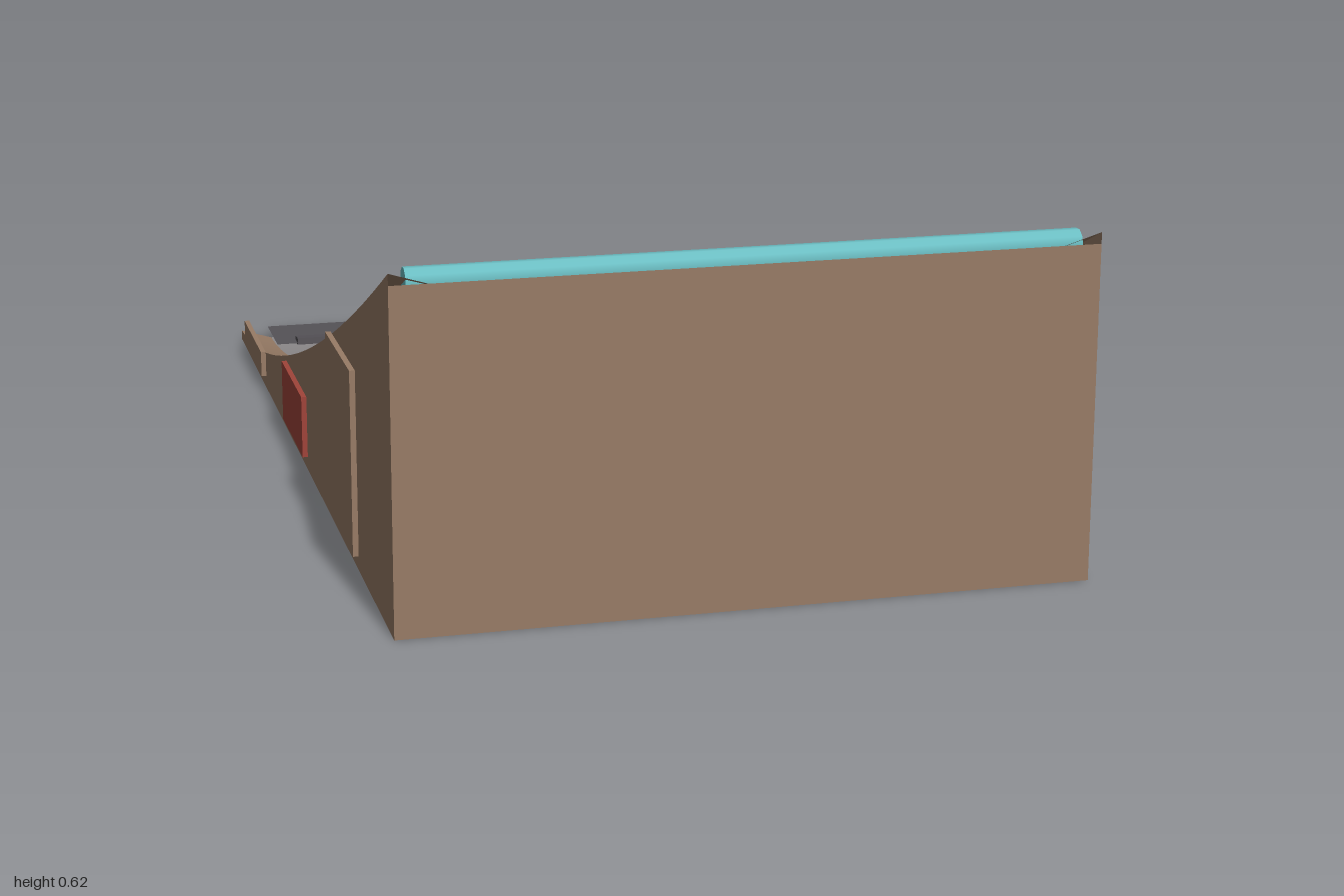
import * as THREE from 'three';

const HALF = 0.605;   // outer half width
const DECK = 0.54;    // riding surface half width
const Z0 = -0.945;    // low end of the curve
const Z1 = 1;         // tall end
const LIP = 0.02;     // how far the deck sits below the side walls
const STEPS = 24;

// Height and slope of the side walls' curved top edge
const rise = (z) => LIP + 0.595 * Math.pow((z - Z0) / (Z1 - Z0), 1.5);
const slope = (z) => (rise(z + 0.01) - rise(z - 0.01)) / 0.02;

// Sheet following the curve between two x positions
function curvedSheet(xa, dropA, xb, dropB) {
  const pos = [], idx = [];
  for (let i = 0; i <= STEPS; i++) {
    const z = Z0 + ((Z1 - Z0) * i) / STEPS;
    pos.push(xa, rise(z) - dropA, z, xb, rise(z) - dropB, z);
    if (i < STEPS) {
      const k = i * 2;
      idx.push(k, k + 2, k + 1, k + 1, k + 2, k + 3);
    }
  }
  const g = new THREE.BufferGeometry();
  g.setAttribute('position', new THREE.Float32BufferAttribute(pos, 3));
  g.setIndex(idx);
  g.computeVertexNormals();
  return g;
}

export function createModel() {
  const group = new THREE.Group();
  const mat = (name, color) => {
    const m = new THREE.MeshStandardMaterial({ color, side: THREE.DoubleSide });
    m.name = name;
    return m;
  };
  const wood = mat('brown wood', 0x987c66);
  const grey = mat('grey deck', 0x8f8c8d);
  const dark = mat('dark metal', 0x555257);
  const teal = mat('teal coping', 0x6cbfc4);
  const red = mat('red panel', 0xa0443a);

  const add = (name, geometry, material, x = 0, y = 0, z = 0) => {
    const m = new THREE.Mesh(geometry, material);
    m.name = name;
    m.position.set(x, y, z);
    group.add(m);
    return m;
  };

  // Curved riding surface
  add('deck', curvedSheet(-DECK, LIP, DECK, LIP), grey);

  // Sloped edge strips between deck and walls
  add('leftEdge', curvedSheet(DECK, LIP, HALF, 0), wood);
  add('rightEdge', curvedSheet(-HALF, 0, -DECK, LIP), wood);

  // Side walls, drawn as (-z, y) and turned to face sideways
  const profile = new THREE.Shape();
  profile.moveTo(-Z1, 0);
  profile.lineTo(-Z0, 0);
  for (let i = 0; i <= STEPS; i++) {
    const z = Z0 + ((Z1 - Z0) * i) / STEPS;
    profile.lineTo(-z, rise(z));
  }
  profile.closePath();
  for (const s of [1, -1]) {
    const side = s > 0 ? 'left' : 'right';
    add(side + 'Wall', new THREE.ShapeGeometry(profile).rotateY(Math.PI / 2), wood, s * HALF);

    // Raised panels: z centre, height, material
    for (const [z, h, m] of [[0.515, 0.335, wood], [-0.082, 0.12, red], [-0.673, 0.052, wood]]) {
      add(side + 'Panel', new THREE.BoxGeometry(0.01, h, 0.268), m, s * (HALF + 0.005), 0.026 + h / 2, z);
    }
  }

  // Tall end panel
  add('frontPanel', new THREE.PlaneGeometry(HALF * 2, 0.595), wood, 0, 0.2975, Z1);

  // Coping pipe along the top
  const coping = add('coping', new THREE.CylinderGeometry(0.025, 0.025, 1.15, 10), teal, 0, 0.592, 0.968);
  coping.rotation.z = Math.PI / 2;

  // Cross bars lying on the deck
  for (const z of [-0.855, -0.462, -0.075, 0.315, 0.703]) {
    const bar = add('crossBar', new THREE.BoxGeometry(0.99, 0.016, 0.033), dark, 0, rise(z) - LIP + 0.007, z);
    bar.rotation.x = -Math.atan(slope(z));
  }

  // Flat entry plate at the low end
  add('entryPlate', new THREE.PlaneGeometry(DECK * 2, 0.16).rotateX(-Math.PI / 2), dark, 0, 0.011, -0.92);

  return group;
}
